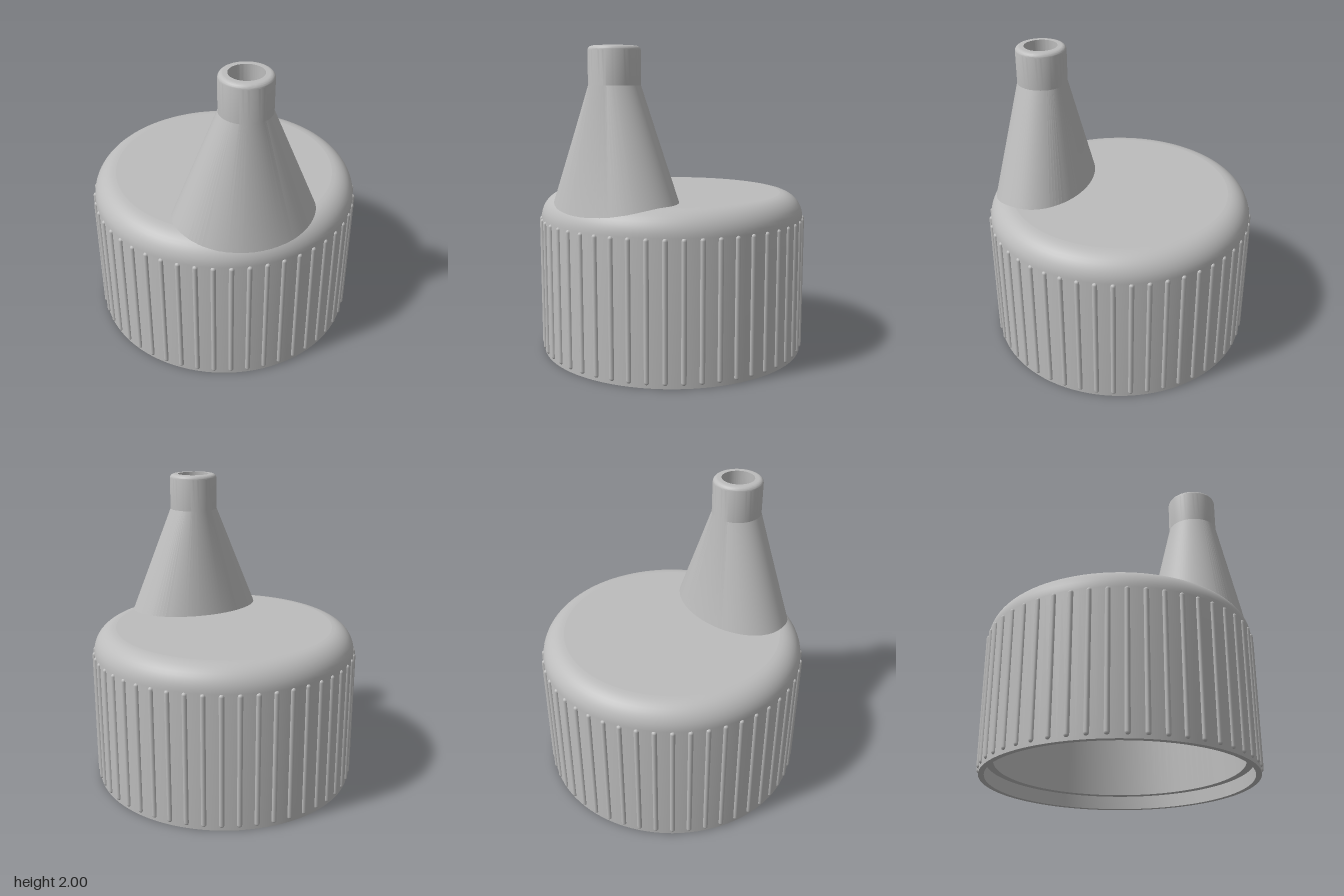
import * as THREE from 'three';
import { toCreasedNormals } from 'three/addons/utils/BufferGeometryUtils.js';

const SEGMENTS = 100;
const SPOUT_Z = 0.525;
const TOP_Y = 1.055, CEILING_Y = 0.82;
const TOP_R = 0.725, CAVITY_R = 0.79;
const HOLE_A = 0.42, HOLE_B = 0.26;

// Quarter-round profile points from angle a0 to a1
function arc(cx, cy, rx, ry, a0, a1, steps = 10) {
  return Array.from({ length: steps + 1 }, (_, i) => {
    const a = a0 + (a1 - a0) * i / steps;
    return [cx + rx * Math.cos(a), cy + ry * Math.sin(a)];
  });
}

// Lathe whose rows [radiusX, y, radiusZ] may be elliptical
function ellipticLathe(rows) {
  const geometry = new THREE.LatheGeometry(rows.map(([r, y]) => new THREE.Vector2(r, y)), SEGMENTS);
  const pos = geometry.attributes.position;
  for (let i = 0; i < pos.count; i++) {
    const [rx, , rz = rx] = rows[i % rows.length];
    pos.setZ(i, pos.getZ(i) * rz / rx);
  }
  return toCreasedNormals(geometry, 0.25);
}

// Flat disc with an elliptical opening below the spout, kept inside the disc
function discWithOpening(radius, facing) {
  const shape = new THREE.Shape();
  shape.absarc(0, 0, radius, 0, Math.PI * 2, false);
  const points = [];
  for (let i = 0; i < 64; i++) {
    const a = i / 64 * Math.PI * 2;
    const p = new THREE.Vector2(HOLE_A * Math.cos(a), -facing * (SPOUT_Z + HOLE_B * Math.sin(a)));
    points.push(p.clampLength(0, radius - 0.004));
  }
  shape.holes.push(new THREE.Path(points));
  return new THREE.ShapeGeometry(shape, SEGMENTS / 2).rotateX(-facing * Math.PI / 2);
}

export function createModel() {
  const model = new THREE.Group();
  model.name = 'spoutCap';
  const plastic = new THREE.MeshStandardMaterial({ color: 0xbcbcbc });
  plastic.name = 'grey plastic';

  const add = (name, geometry, parent = model) => {
    const mesh = new THREE.Mesh(geometry, plastic);
    mesh.name = name;
    parent.add(mesh);
    return mesh;
  };

  // Cap wall: cavity, recessed bottom lip, outside and rounded shoulder
  add('capWall', ellipticLathe([
    [CAVITY_R, CEILING_Y], [CAVITY_R, 0.09], [0.84, 0.09], [0.84, 0], [0.875, 0],
    ...arc(TOP_R, 0.9, 0.15, TOP_Y - 0.9, 0, Math.PI / 2),
  ]));

  // Flat top and ceiling, both open into the spout
  add('capTop', discWithOpening(TOP_R, 1)).position.y = TOP_Y;
  add('capCeiling', discWithOpening(CAVITY_R, -1)).position.y = CEILING_Y;

  // Hollow spout: oval flared base, round neck, rounded rim and bore
  const spout = add('spout', ellipticLathe([
    [0.52, 0.9, 0.343], [0.163, 1.76],
    ...arc(0.133, 1.97, 0.03, 0.03, 0, Math.PI / 2),
    [0.107, 2], [0.107, 1.76],
    [HOLE_A, 1.0, HOLE_B], [HOLE_A, CEILING_Y, HOLE_B],
  ]));
  spout.position.z = SPOUT_Z;

  // Grip ribs around the wall
  const ribs = new THREE.Group();
  ribs.name = 'gripRibs';
  model.add(ribs);
  const ribGeometry = new THREE.CapsuleGeometry(0.017, 0.846, 4, 10);
  const ribCount = 50;
  for (let i = 0; i < ribCount; i++) {
    const a = (i + 0.5) / ribCount * Math.PI * 2;
    add('gripRib', ribGeometry, ribs).position.set(0.872 * Math.sin(a), 0.46, 0.872 * Math.cos(a));
  }
  return model;
}
